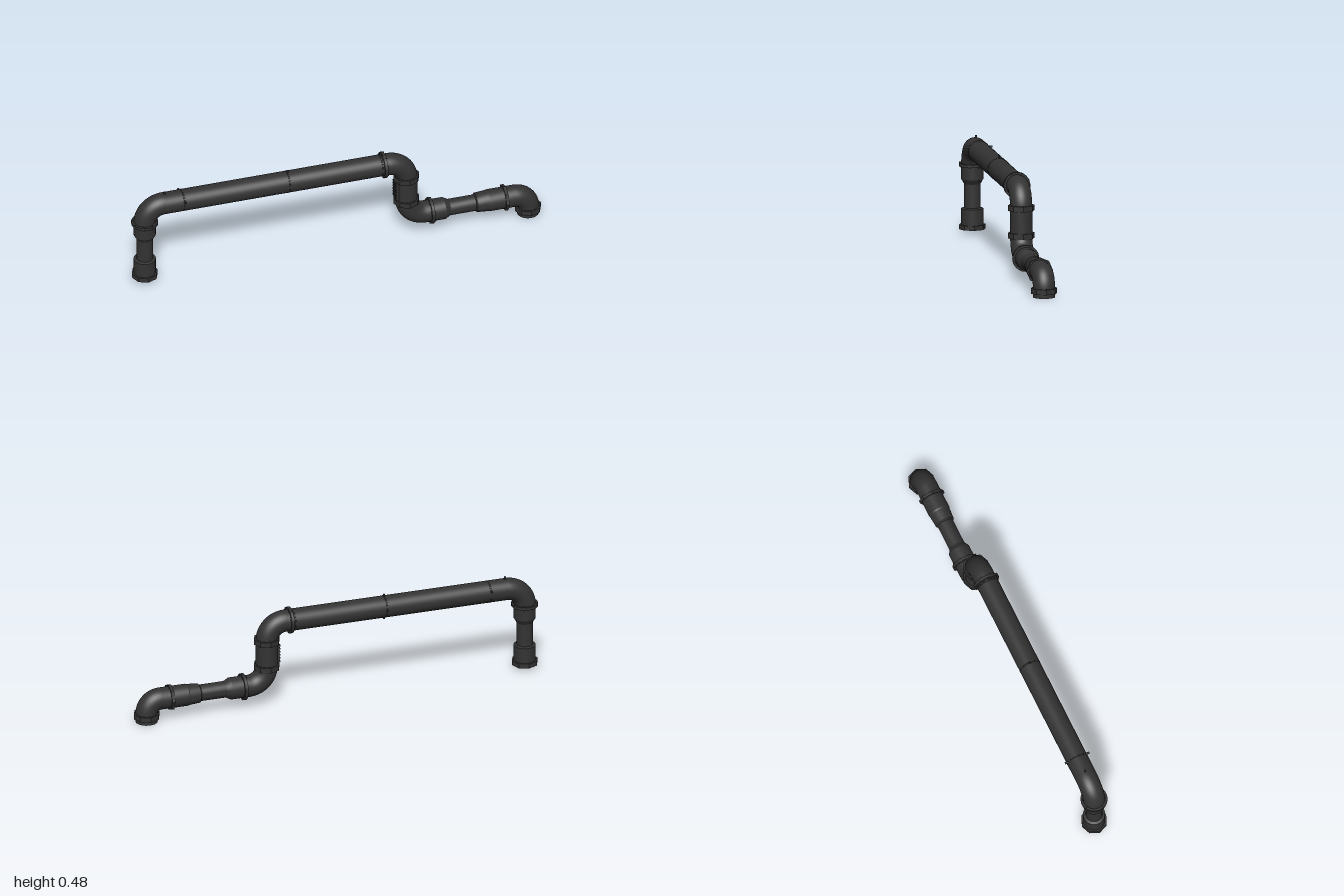
import * as THREE from 'three';
import { toCreasedNormals } from 'three/addons/utils/BufferGeometryUtils.js';

const R = 0.052;        // pipe radius
const RING = 0.063;     // flange radius
const NECK = 0.039;     // reduced pipe radius
const TOP = 0.416, LOW = 0.107;                 // heights of the horizontal runs
const XL = -0.937, XM = 0.342, XR = 0.937;      // positions of the vertical runs

export function createModel() {
  const model = new THREE.Group();
  const mat = new THREE.MeshStandardMaterial({ color: 0x333333, side: THREE.DoubleSide });

  const add = (name, geo, x = 0, y = 0, z = 0) => {
    const mesh = new THREE.Mesh(geo, mat);
    mesh.name = name;
    mesh.position.set(x, y, z);
    model.add(mesh);
    return mesh;
  };

  // Turned part from [radius, distance] pairs, running up (+y) or along +x
  const turned = (name, profile, x, y, alongX = false, sides = 32) => {
    const pts = profile.map(([r, t]) => new THREE.Vector2(r, t));
    const geo = toCreasedNormals(new THREE.LatheGeometry(pts, sides), sides > 12 ? 0.25 : 0.1);
    if (alongX) geo.rotateZ(-Math.PI / 2);
    return add(name, geo, x, y);
  };

  // Solid-walled collar around a pipe
  const collar = (name, x, y, height, alongX, sides) => turned(name, [
    [R - 0.004, -height / 2], [RING, -height / 2], [RING, height / 2], [R - 0.004, height / 2],
  ], x, y, alongX, sides);

  // Round flange with small lugs on its rim
  const flange = (name, x, y, alongX) => {
    const ring = collar(name, x, y, 0.014, alongX, 32);
    for (let i = 0; i < 8; i++) {
      const a = (i + 0.5) * Math.PI / 4;
      const lug = new THREE.Mesh(new THREE.BoxGeometry(0.008, 0.02, 0.008), mat);
      lug.name = 'flangeLug';
      const c = Math.cos(a) * 0.059, s = Math.sin(a) * 0.059;
      if (alongX) {
        lug.position.set(0, c, s);
        lug.rotation.set(a, 0, Math.PI / 2, 'XYZ');
      } else {
        lug.position.set(c, 0, s);
        lug.rotation.y = -a;
      }
      ring.add(lug);
    }
  };

  // Quarter bend around a centre, starting at the given angle
  const elbow = (name, cx, cy, bend, start) => {
    const geo = new THREE.TorusGeometry(bend, R, 32, 20, Math.PI / 2);
    geo.rotateZ(start);
    add(name, geo, cx, cy);
  };

  const B = 0.09, BE = 0.066;
  elbow('leftElbow', XL + B, TOP - B, B, Math.PI / 2);
  elbow('upperElbow', XM - B, TOP - B, B, 0);
  elbow('lowerElbow', XM + B, LOW + B, B, Math.PI);
  elbow('outletElbow', XR - BE, LOW - BE, BE, 0);

  // Left down pipe: hollow socket, reduced neck and flared joint
  turned('leftDownPipe', [
    [0.036, 0.1], [0.044, 0.1], [0.044, 0.02], [R, 0.02], [R, 0.118], [NECK, 0.122],
    [NECK, 0.235], [R, 0.258], [R, TOP - B],
  ], XL, 0);
  collar('leftInletCollar', XL, 0.031, 0.022, false, 8);
  flange('leftElbowFlange', XL, TOP - B, false);

  // Long upper run with its seam and fixing pins
  turned('upperPipe', [[R, XL + B], [R, XM - B]], 0, TOP, true);
  for (const x of [-0.755, -0.24, 0.215]) {
    turned('pipeSeam', [[R, -0.003], [R + 0.0012, -0.002], [R + 0.0012, 0.002], [R, 0.003]], x, TOP, true);
  }
  add('verticalPin', new THREE.CylinderGeometry(0.005, 0.005, 0.126, 10), -0.24, TOP);
  add('elbowPin', new THREE.CylinderGeometry(0.005, 0.005, 0.065, 10), -0.84, TOP + 0.0315);
  add('crossPin', new THREE.CylinderGeometry(0.005, 0.005, 0.126, 10), -0.755, TOP + 0.022)
    .rotation.x = Math.PI / 2;
  flange('upperElbowFlange', 0.23, TOP, true);

  // Middle drop with octagonal collars and a ribbed plate
  turned('middlePipe', [[R, LOW + B], [R, TOP - B]], XM, 0);
  collar('middleUpperCollar', XM, 0.328, 0.026, false, 8);
  collar('middleLowerCollar', XM, 0.197, 0.026, false, 8);
  add('sidePlate', new THREE.BoxGeometry(0.022, 0.1, 0.056), XM - 0.044, 0.263);
  for (let i = 0; i < 6; i++) {
    add('plateRib', new THREE.BoxGeometry(0.006, 0.008, 0.05), XM - 0.056, 0.223 + i * 0.016);
  }

  // Lower run: flared at both ends around a reduced neck
  turned('lowerPipe', [
    [R, XM + B], [R, 0.525], [NECK, 0.55], [NECK, 0.675], [0.046, 0.68], [0.05, 0.735],
    [R, 0.74], [R, XR - BE],
  ], 0, LOW, true);
  flange('lowerElbowFlange', 0.46, LOW, true);
  collar('outletElbowCollar', 0.822, LOW, 0.014, true, 8);

  // Outlet with a closed end
  turned('outletPipe', [[0, 0.004], [0.045, 0.004], [0.045, 0], [R, 0], [R, LOW - BE]], XR, 0);
  collar('outletCollar', XR, 0.031, 0.025, false, 8);

  return model;
}
